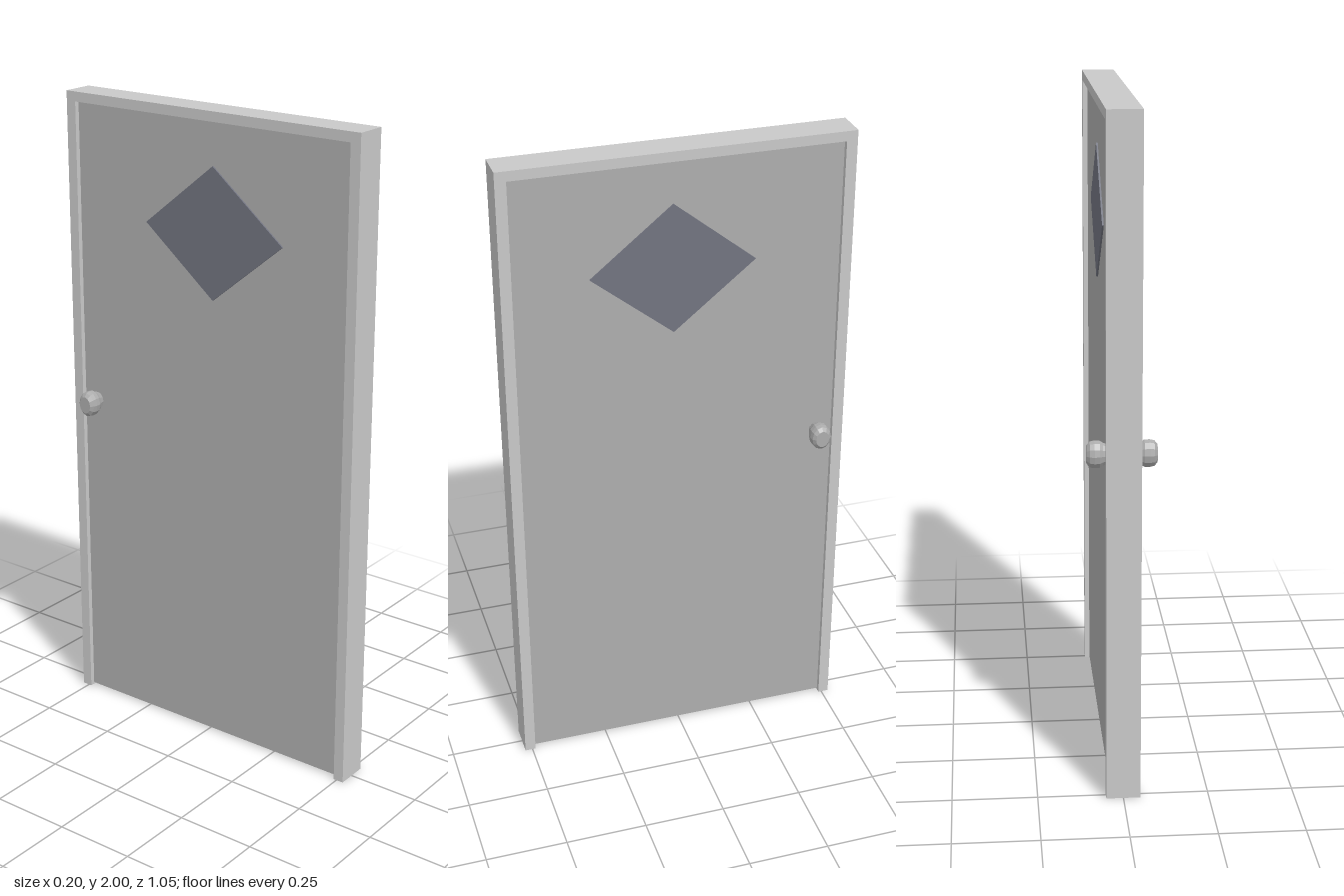
import * as THREE from 'three';

const material = (name, color) => {
  const m = new THREE.MeshStandardMaterial({ color });
  m.name = name;
  return m;
};

// Extrude a (z, y) outline across the door's thickness, centred on x = 0
function slab(name, points, thickness, mat) {
  const shape = new THREE.Shape(points.map(([z, y]) => new THREE.Vector2(-z, y)));
  const geo = new THREE.ExtrudeGeometry(shape, { depth: thickness, bevelEnabled: false });
  geo.translate(0, 0, -thickness / 2).rotateY(Math.PI / 2);
  const mesh = new THREE.Mesh(geo, mat);
  mesh.name = name;
  return mesh;
}

export function createModel() {
  const frameGrey = material('frame light grey', 0xc9c9c9);
  const panelGrey = material('panel grey', 0xaeaeae);
  const glassBlue = material('window blue grey', 0x727480);
  const knobGrey = material('knob grey', 0xacacac);
  knobGrey.flatShading = true;

  const door = new THREE.Group();
  door.name = 'door';

  // Frame: two posts and a lintel in one piece, open at the floor
  const outer = 0.523, inner = 0.49, head = 1.97;
  door.add(slab('frame', [
    [-outer, 0], [-inner, 0], [-inner, head], [inner, head],
    [inner, 0], [outer, 0], [outer, 2], [-outer, 2],
  ], 0.1, frameGrey));

  // Door leaf, set back from the frame on both faces
  door.add(slab('doorPanel', [
    [-inner, 0.006], [inner, 0.006], [inner, head], [-inner, head],
  ], 0.07, panelGrey));

  // Diamond window, slightly proud of both faces
  const wz = 0.017, wy = 1.64;
  door.add(slab('window', [
    [wz - 0.247, wy], [wz, wy - 0.2], [wz + 0.247, wy], [wz, wy + 0.2],
  ], 0.08, glassBlue));

  // Barrel-shaped oval knobs, one on each face; profile is radius, then distance from the centre plane
  const profile = [
    [0, 0.034], [0.026, 0.034], [0.034, 0.054], [0.04, 0.063],
    [0.041, 0.078], [0.038, 0.091], [0.027, 0.1], [0, 0.1],
  ].map(([r, d]) => new THREE.Vector2(r, d));
  const knobGeo = new THREE.LatheGeometry(profile, 12);
  knobGeo.rotateZ(-Math.PI / 2).scale(1, 1, 0.79);
  for (const [name, turn] of [['leftKnob', 0], ['rightKnob', Math.PI]]) {
    const knob = new THREE.Mesh(knobGeo, knobGrey);
    knob.name = name;
    knob.rotation.y = turn;
    knob.position.set(0, 1.03, -0.44);
    door.add(knob);
  }

  return door;
}
